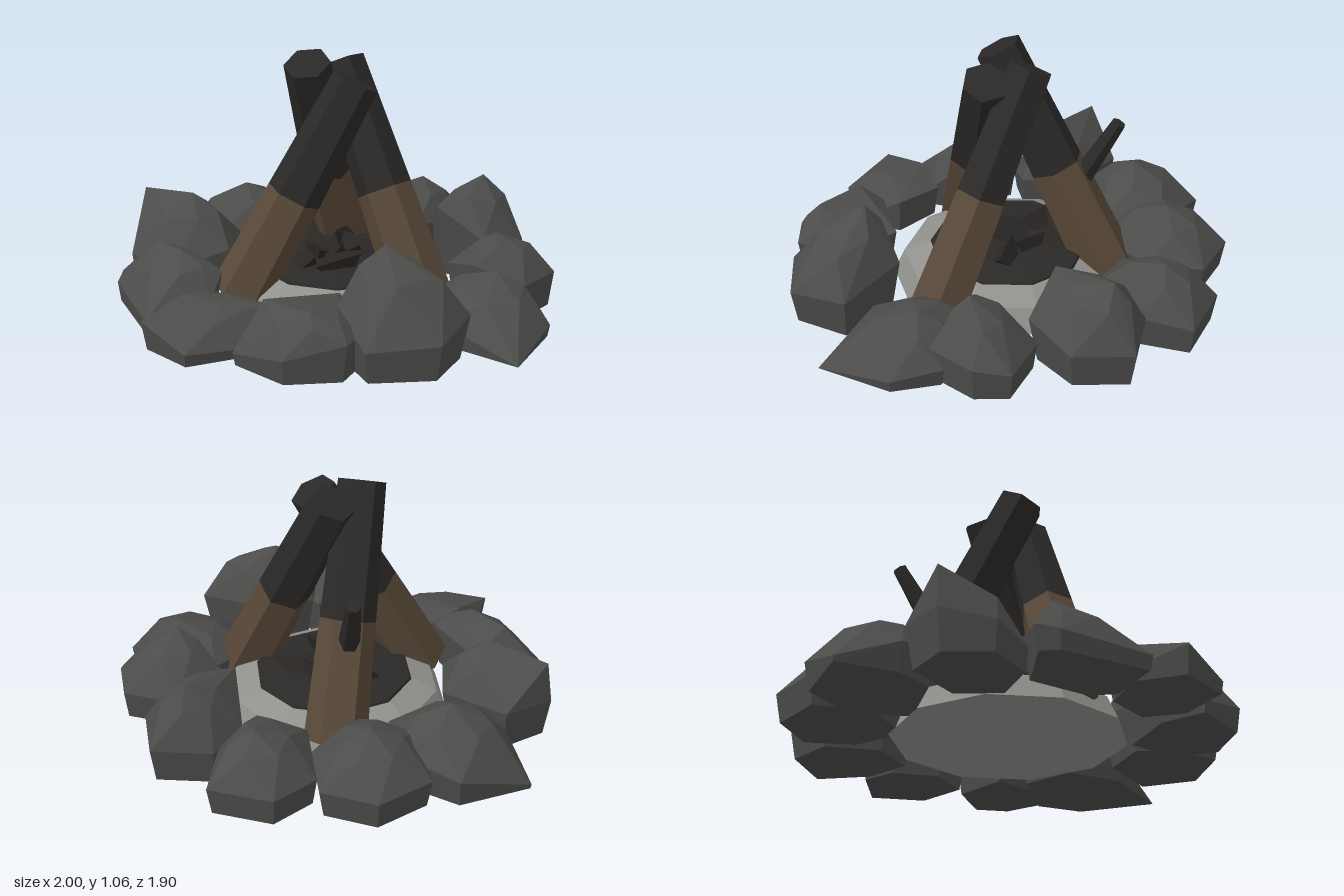
import * as THREE from 'three';
import { ConvexGeometry } from 'three/addons/geometries/ConvexGeometry.js';

const mat = (color) => new THREE.MeshStandardMaterial({ color, flatShading: true });
const V = (x, y, z) => new THREE.Vector3(x, y, z);

export function createModel() {
  const model = new THREE.Group();
  model.name = 'campfire';
  const stone = mat(0x4c4c4b), ash = mat(0x90908c), bark = mat(0x584838);
  const char = mat(0x2b2927), coal = mat(0x282523);

  const add = (parent, name, geometry, material) => {
    const mesh = new THREE.Mesh(geometry, material);
    mesh.name = name;
    parent.add(mesh);
    return mesh;
  };

  // Faceted stone: corners around its rim, peaks on top, a rounded shoulder and a flat base
  const ring = new THREE.Group();
  ring.name = 'stoneRing';
  model.add(ring);
  const addStone = (name, rimCorners, peakCorners) => {
    const rim = rimCorners.map((c) => V(...c)), peaks = peakCorners.map((c) => V(...c));
    const centre = V(0, 0, 0);
    rim.forEach((p) => centre.addScaledVector(p, 1 / rim.length));
    const base = rim.map((p) => V(p.x, 0, p.z).lerp(V(centre.x, 0, centre.z), 0.7 * p.y));
    const shoulder = rim.map((p, i) => {
      const s = p.clone().lerp(rim[(i + 1) % rim.length], 0.5);
      const y = THREE.MathUtils.lerp(s.y, peaks[0].y, 0.65);
      return s.lerp(peaks[0], 0.4).setY(y);
    });
    add(ring, name, new ConvexGeometry([...rim, ...peaks, ...base, ...shoulder]), stone);
  };

  addStone('frontStone',
    [[-0.17, 0.14, 0.53], [0.06, 0.16, 0.56], [0.09, 0.04, 0.75], [-0.03, 0.05, 0.95], [-0.28, 0.12, 0.92], [-0.31, 0.05, 0.7]],
    [[-0.06, 0.18, 0.7], [-0.25, 0.17, 0.7]]);
  addStone('frontLeftStone',
    [[0.29, 0.2, 0.38], [0.1, 0.18, 0.62], [0.1, 0.05, 0.82], [0.37, 0.1, 0.86], [0.56, 0.16, 0.7], [0.52, 0.15, 0.5]],
    [[0.4, 0.26, 0.72], [0.16, 0.25, 0.7]]);
  addStone('tallStone',
    [[0.48, 0.22, 0.2], [0.8, 0.18, 0.22], [0.84, 0.15, 0.48], [0.62, 0.13, 0.67], [0.4, 0.22, 0.56], [0.33, 0.2, 0.4]],
    [[0.5, 0.45, 0.36], [0.73, 0.33, 0.31]]);
  addStone('leftStone',
    [[0.79, 0.08, -0.28], [0.95, 0.05, -0.14], [1, 0, 0.19], [0.65, 0.1, 0.2], [0.44, 0.1, 0.05], [0.48, 0.12, -0.19]],
    [[0.72, 0.24, -0.1]]);
  addStone('backLeftStone',
    [[0.7, 0.12, -0.55], [0.8, 0.15, -0.43], [0.79, 0.15, -0.21], [0.56, 0.2, -0.18], [0.39, 0.15, -0.25], [0.47, 0.12, -0.5]],
    [[0.61, 0.33, -0.27]]);
  addStone('highBackStone',
    [[0.34, 0.15, -0.88], [0.11, 0.15, -0.77], [0.08, 0.18, -0.6], [0.23, 0.32, -0.41], [0.45, 0.2, -0.44], [0.5, 0.15, -0.68]],
    [[0.27, 0.39, -0.72]]);
  addStone('backStone',
    [[0.03, 0.12, -0.95], [-0.24, 0.12, -0.89], [-0.31, 0.12, -0.68], [-0.15, 0.18, -0.48], [0.08, 0.18, -0.49], [0.12, 0.14, -0.72]],
    [[-0.06, 0.31, -0.74]]);
  addStone('backRightStone',
    [[-0.6, 0.12, -0.71], [-0.36, 0.12, -0.75], [-0.22, 0.15, -0.57], [-0.24, 0.16, -0.3], [-0.53, 0.18, -0.28], [-0.71, 0.12, -0.47]],
    [[-0.45, 0.3, -0.5]]);
  addStone('rightStone',
    [[-0.81, 0.12, -0.43], [-0.53, 0.16, -0.43], [-0.37, 0.13, -0.2], [-0.61, 0.15, 0.03], [-0.8, 0.12, 0], [-1, 0.02, -0.17]],
    [[-0.65, 0.31, -0.2]]);
  addStone('highRightStone',
    [[-0.8, 0.18, 0.01], [-0.5, 0.18, 0.03], [-0.4, 0.18, 0.23], [-0.56, 0.1, 0.4], [-0.8, 0.12, 0.4], [-0.91, 0.17, 0.21]],
    [[-0.62, 0.38, 0.2], [-0.89, 0.35, 0.2]]);
  addStone('frontRightStone',
    [[-0.5, 0.18, 0.34], [-0.23, 0.2, 0.48], [-0.2, 0.1, 0.6], [-0.36, 0.06, 0.81], [-0.7, 0.08, 0.6], [-0.74, 0.1, 0.52]],
    [[-0.38, 0.28, 0.55], [-0.56, 0.27, 0.5]]);

  // Ash bed and the charred layer on it
  const lathe = (pts) => new THREE.LatheGeometry(pts.map(([r, y]) => new THREE.Vector2(r, y)), 10);
  const bed = add(model, 'ashBed', lathe([[0, 0], [0.485, 0], [0.44, 0.1], [0.33, 0.15], [0, 0.15]]), ash);
  bed.position.z = 0.01;
  add(model, 'charredLayer', lathe([[0.335, 0.15], [0.33, 0.16], [0.2, 0.175], [0, 0.185]]), char);

  // Jagged coals heaped in the middle
  const coals = new THREE.Group();
  coals.name = 'coals';
  model.add(coals);
  for (let i = 0; i < 8; i++) {
    const a = i * 2.4, d = 0.07 * Math.sqrt(i);
    const chunk = add(coals, 'coal' + (i + 1), new THREE.TetrahedronGeometry(0.12 + 0.02 * Math.sin(i * 5), 0), coal);
    chunk.position.set(d * Math.cos(a), 0.175, d * Math.sin(a));
    chunk.rotation.set(i * 1.3, i * 2.1, i * 0.7);
    chunk.scale.setScalar(1 - 0.8 * d);
  }

  // Tapered bar between two points
  const bar = (parent, name, a, b, ra, rb, material) => {
    const axis = b.clone().sub(a);
    const mesh = add(parent, name, new THREE.CylinderGeometry(rb, ra, axis.length(), 6), material);
    mesh.position.copy(a).add(b).multiplyScalar(0.5);
    mesh.quaternion.setFromUnitVectors(V(0, 1, 0), axis.normalize());
  };

  // Three leaning logs, burnt in their upper half
  [
    ['frontLog', V(-0.21, 0.07, 0.39), V(0.115, 0.96, 0.03)],
    ['sideLog', V(0.45, 0.07, 0.02), V(-0.04, 0.995, -0.08)],
    ['backLog', V(-0.21, 0.07, -0.36), V(-0.07, 1.02, 0.11)],
  ].forEach(([name, foot, top]) => {
    const log = new THREE.Group();
    log.name = name;
    model.add(log);
    const mid = foot.clone().lerp(top, 0.47);
    bar(log, 'bareWood', foot, mid, 0.13, 0.115, bark);
    bar(log, 'burntWood', mid, top, 0.115, 0.098, char);
  });

  // Broken branch on the back log
  bar(model, 'branchStub', V(-0.18, 0.4, -0.2), V(-0.285, 0.725, -0.35), 0.05, 0.03, char);

  return model;
}
